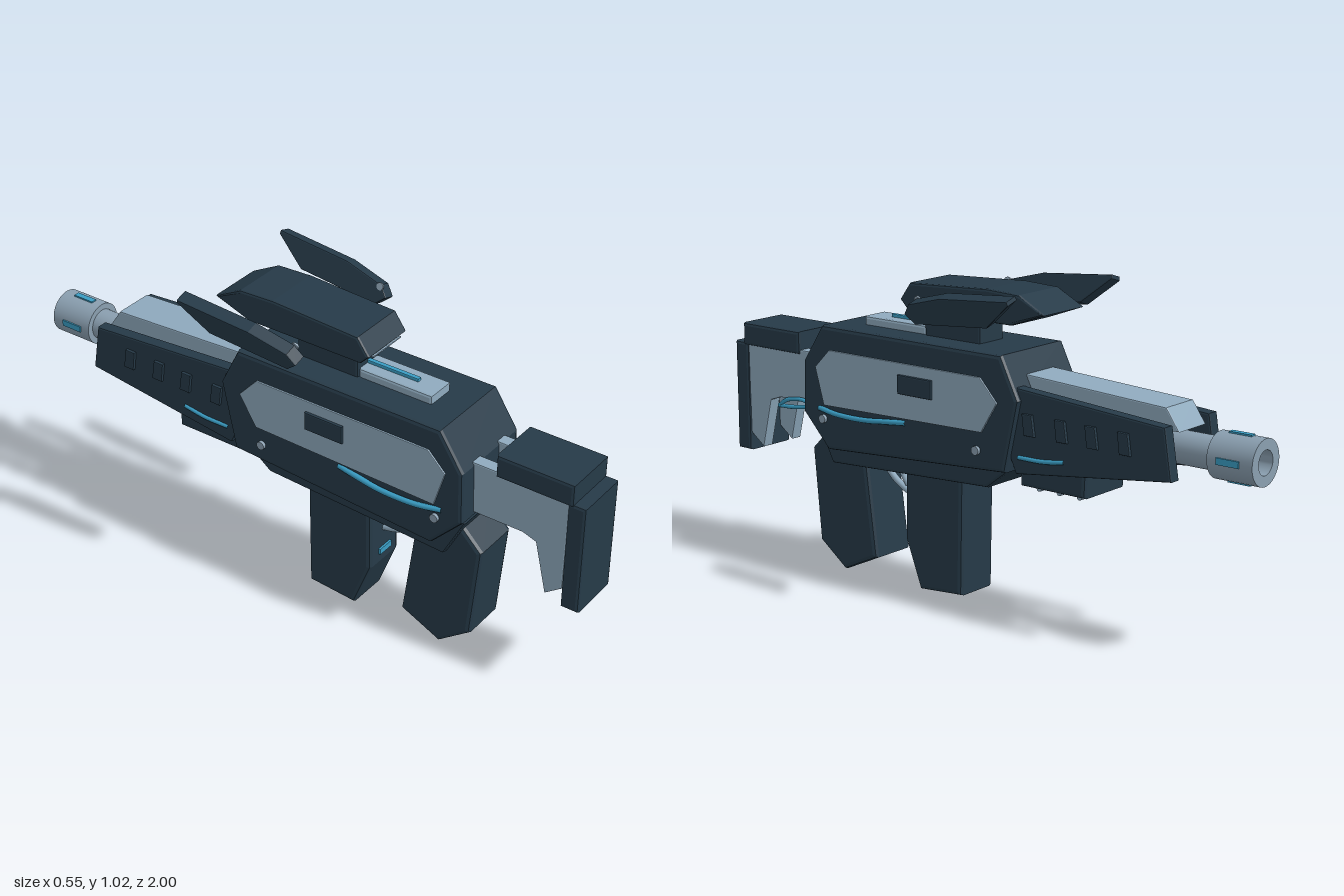
import * as THREE from 'three';
import { toCreasedNormals } from 'three/addons/utils/BufferGeometryUtils.js';

const mat = (name, color) => Object.assign(new THREE.MeshStandardMaterial({ color }), { name });

export function createModel() {
  const dark = mat('dark slate', 0x263a48);
  const light = mat('pale steel', 0x8faabe);
  const steel = mat('grey steel', 0x8a9fb0);
  const cyan = mat('cyan glow', 0x3a9dc4);
  const root = new THREE.Group();

  const add = (name, geo, material, x = 0, y = 0, z = 0, parent = root) => {
    const m = new THREE.Mesh(geo, material);
    m.name = name;
    m.position.set(x, y, z);
    parent.add(m);
    return m;
  };
  // Side profile given as [z, y] points, extruded across x and centred on x = 0
  const slab = (pts, width, bevel = 0.01) => {
    const shape = new THREE.Shape(pts.map(p => new THREE.Vector2(p[0], p[1])));
    const depth = width - 2 * bevel;
    const g = new THREE.ExtrudeGeometry(shape, {
      depth, bevelEnabled: bevel > 0, bevelThickness: bevel, bevelSize: bevel,
      bevelOffset: -bevel, bevelSegments: 2,
    });
    return g.translate(0, 0, -depth / 2).rotateY(-Math.PI / 2);
  };
  // Block from ranges in y and z
  const block = (width, y0, y1, z0, z1, bevel = 0.008) =>
    slab([[z0, y0], [z1, y0], [z1, y1], [z0, y1]], width, bevel);
  const tube = (pts, r) => new THREE.TubeGeometry(
    new THREE.CatmullRomCurve3(pts.map(p => new THREE.Vector3(...p))), 20, r, 8);
  const rod = (r, len, sides = 32) => new THREE.CylinderGeometry(r, r, len, sides).rotateX(Math.PI / 2);

  // Receiver and its lower frame
  add('receiver', slab([[.55, .82], [-.175, .82], [-.24, .69], [-.19, .465], [.53, .42], [.635, .53], [.63, .70]], .30, .012), dark);
  add('lowerFrame', slab([[.62, .50], [.55, .365], [-.09, .395], [-.20, .48], [-.20, .56], [.60, .56]], .22), dark);
  add('topPlate', block(.10, .81, .847, .20, .455), light);
  add('topGlow', block(.016, .84, .857, .20, .38, .003), cyan);

  // Grips, trigger and guard
  add('rearGrip', slab([[.59, .47], [.665, .395], [.637, .085], [.53, .005], [.39, .07], [.43, .38], [.43, .45]], .165, .014), dark);
  add('frontGrip', slab([[.265, .42], [.27, .16], [.21, .002], [.04, .015], [.033, .42]], .155, .014), dark);
  add('triggerGuard', tube([[0, .38, .43], [0, .325, .38], [0, .29, .32], [0, .275, .26]], .011), light);
  add('trigger', tube([[0, .39, .35], [0, .35, .345], [0, .31, .32]], .011), light);
  add('gripGlow', block(.06, .19, .21, .266, .276, 0), cyan);

  // Stock
  add('buttPlate', block(.184, .34, .705, .94, 1.0, .01), dark);
  add('cheekRest', block(.188, .695, .77, .705, .96, .01), dark);
  add('stockGlow', tube([[.093, .515, .80], [.097, .52, .73], [.097, .535, .66], [.097, .548, .68], [.097, .54, .76], [.093, .515, .80]], .007), cyan);

  // Barrel, shroud and muzzle
  add('barrel', rod(.05, .68), steel, 0, .605, -.53);
  add('barrelShroud', slab([[-.18, .757], [-.71, .73], [-.755, .665], [-.18, .655]], .135, .004), light);
  const ring = new THREE.LatheGeometry([[.0, 0], [.07, 0], [.07, .15], [.037, .15], [.037, .05], [0, .05]]
    .map(p => new THREE.Vector2(...p)), 32).rotateX(-Math.PI / 2);
  add('muzzle', toCreasedNormals(ring, .6), steel, 0, .605, -.85);
  for (let i = 0; i < 4; i++) {
    const a = i * Math.PI / 2;
    const m = add('muzzleGlow', new THREE.BoxGeometry(.02, .008, .075), cyan, -Math.sin(a) * .07, .605 + Math.cos(a) * .07, -.92);
    m.rotation.z = a;
  }

  // Block below the barrel with cross ribs
  add('underBlock', slab([[-.21, .53], [-.21, .42], [-.45, .42], [-.455, .53]], .20, .012), dark);
  for (const z of [-.26, -.335, -.41]) {
    add('underRib', new THREE.CylinderGeometry(.009, .009, .14, 12).rotateZ(Math.PI / 2), light, 0, .414, z);
  }

  // Sight
  add('sightMount', block(.112, .81, .91, -.02, .20), dark);
  add('sightHood', slab([[.265, .93], [.225, .985], [-.08, 1.0], [-.20, .995], [-.295, .945], [-.17, .90], [.235, .90]], .195, .008), dark);
  add('sightGlow', block(.14, .918, .922, .258, .264, 0), light);

  // Paired parts
  for (const s of [-1, 1]) {
    add('sidePanel', slab([[.575, .685], [.515, .745], [-.10, .745], [-.165, .675], [-.105, .578], [.54, .565]], .009, .002), light, s * .151);
    add('ejectionPort', block(.03, .65, .71, .085, .22, .004), dark, s * .15);
    add('panelGlow', tube([[s * .147, .552, .565], [s * .160, .545, .48], [s * .162, .545, .36], [s * .157, .552, .28], [s * .147, .558, .20]], .009), cyan);
    for (const z of [.545, -.085]) {
      add('bolt', new THREE.CylinderGeometry(.014, .014, .025, 12).rotateZ(Math.PI / 2), steel, s * .148, .52, z);
    }
    add('stockArm', slab([[.58, .71], [.945, .71], [.94, .40], [.885, .36], [.845, .525], [.80, .54], [.58, .54]], .042, .004), light, s * .066);

    // Handguard plates with raised vents
    add('handguard', slab([[-.19, .73], [-.75, .69], [-.775, .535], [-.22, .465], [-.18, .55]], .042, .006), dark, s * .111);
    for (const z of [-.27, -.39, -.50, -.615]) {
      add('vent', slab([[z + .022, .655], [z - .014, .655], [z - .024, .59], [z + .014, .59]], .02, .003), dark, s * .132);
    }
    add('handguardGlow', tube([[s * .131, .518, -.23], [s * .133, .52, -.32], [s * .131, .53, -.40]], .007), cyan);
    add('innerGlow', tube([[s * .088, .58, -.42], [s * .083, .59, -.46], [s * .088, .60, -.50]], .007), cyan);

    // Side fins that lean outward beside the sight
    const fin = add('sideFin', slab([[.115, -.03], [.09, .005], [-.04, .04], [-.297, .062], [-.30, .05], [-.20, -.035], [.08, -.06]], .045, .004), dark, s * .234, .958, 0);
    fin.rotation.z = -s * .3;
    add('finBolt', new THREE.CylinderGeometry(.012, .012, .006, 12).rotateZ(Math.PI / 2), steel, -s * .023, 0, .09, fin);
  }
  return root;
}
